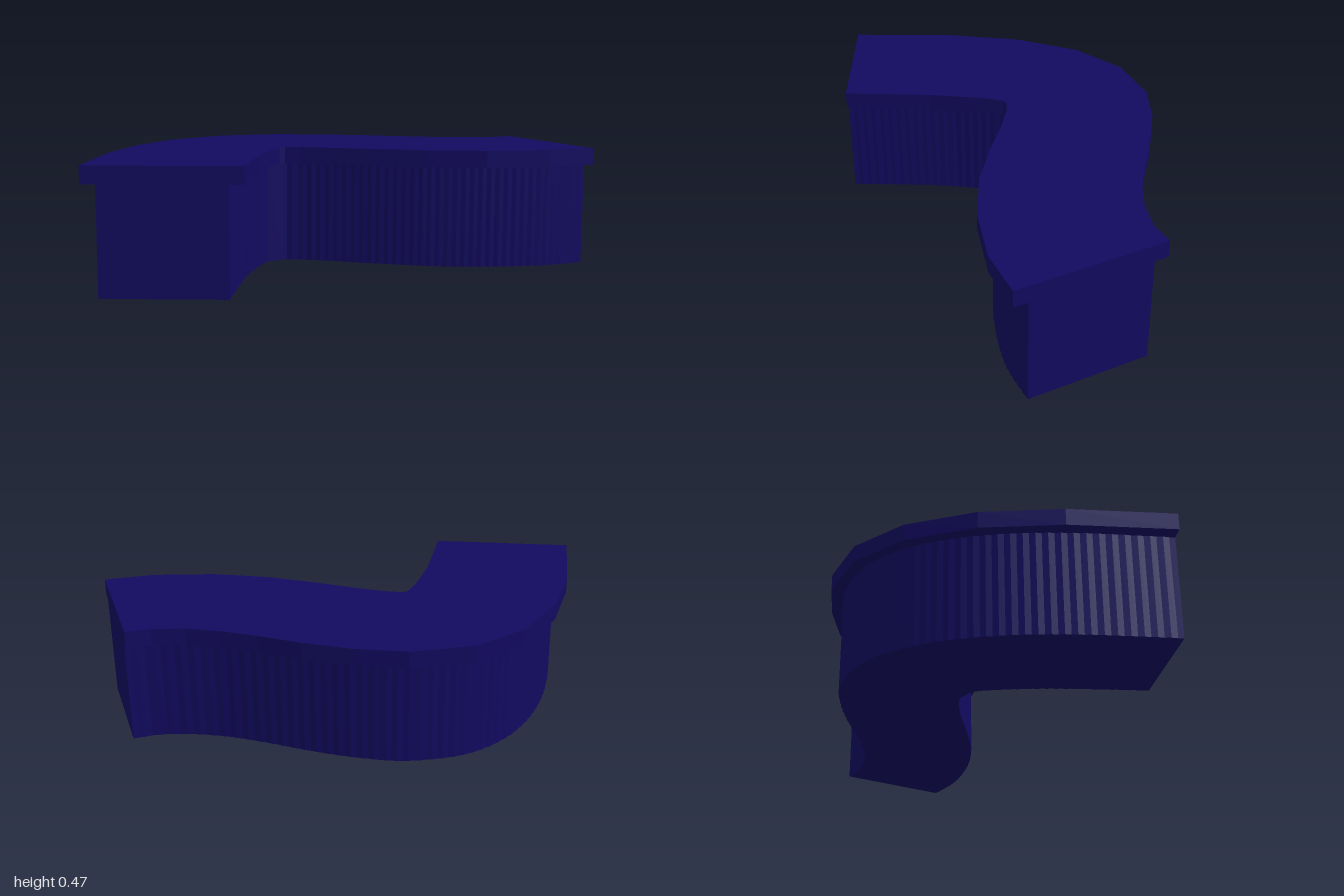
import * as THREE from 'three';

// Plan outline of the two long counter edges, as [x, z] from right (-x) to left (+x)
const BACK = [[-1, 0.19], [-0.78, -0.15], [-0.575, -0.385], [-0.345, -0.545], [-0.105, -0.605], [0.135, -0.555],
  [0.305, -0.45], [0.45, -0.325], [0.57, -0.205], [0.68, -0.105], [0.79, -0.03], [0.905, 0.02], [1, 0.03]];
const FRONT = [[-0.51, 0.48], [-0.315, 0.195], [-0.18, 0.035], [-0.115, -0.025], [-0.09, -0.025], [-0.035, 0.01],
  [0.055, 0.09], [0.18, 0.215], [0.335, 0.355], [0.525, 0.48], [0.755, 0.575], [0.95, 0.605]];

const BASE_HEIGHT = 0.402, TOP_HEIGHT = 0.467, OVERHANG = 0.055, SLATS = 110, PLEAT = 0.0015;

const toVectors = (points) => points.map(([x, z]) => new THREE.Vector2(x, z));

// Raises a closed plan outline between two heights
function slab(name, outline, bottom, top, material) {
  const shape = new THREE.Shape(outline.map((p) => new THREE.Vector2(p.x, -p.y)));
  const geometry = new THREE.ExtrudeGeometry(shape, { depth: top - bottom, bevelEnabled: false });
  geometry.rotateX(-Math.PI / 2).translate(0, bottom, 0);
  const mesh = new THREE.Mesh(geometry, material);
  mesh.name = name;
  return mesh;
}

// Smooth copy of an edge, set in below the overhang, with fine slat pleats; side is +1 for back, -1 for front
function insetEdge(points, side, start, end) {
  const curve = new THREE.SplineCurve(toVectors(points));
  const edge = [];
  for (let i = 0; i <= SLATS; i++) {
    const u = i / SLATS;
    const p = curve.getPointAt(u), t = curve.getTangentAt(u);
    const inset = side * (OVERHANG + (i % 2 ? PLEAT : -PLEAT));
    edge.push(new THREE.Vector2(p.x - t.y * inset, p.y + t.x * inset));
  }
  // The ends stay flush with the straight ends of the top
  edge[0] = start;
  edge[SLATS] = end;
  return edge;
}

// Point on a straight end, one overhang in from corner a towards corner b
function alongEnd(a, b) {
  const from = new THREE.Vector2(...a), to = new THREE.Vector2(...b);
  return from.clone().add(to.sub(from).setLength(OVERHANG));
}

export function createModel() {
  const group = new THREE.Group();
  group.name = 'curvedCounter';
  const material = new THREE.MeshStandardMaterial({ color: 0x120a60, flatShading: true });

  // Counter top
  const topOutline = [...toVectors(BACK), ...toVectors(FRONT).reverse()];
  group.add(slab('counterTop', topOutline, BASE_HEIGHT, TOP_HEIGHT, material));

  // Slatted base, narrower than the top along both long sides
  const b0 = BACK[0], b1 = BACK.at(-1), f0 = FRONT[0], f1 = FRONT.at(-1);
  const back = insetEdge(BACK, 1, alongEnd(b0, f0), alongEnd(b1, f1));
  const front = insetEdge(FRONT, -1, alongEnd(f0, b0), alongEnd(f1, b1));
  group.add(slab('slattedBase', [...back, ...front.reverse()], 0, BASE_HEIGHT, material));

  return group;
}
